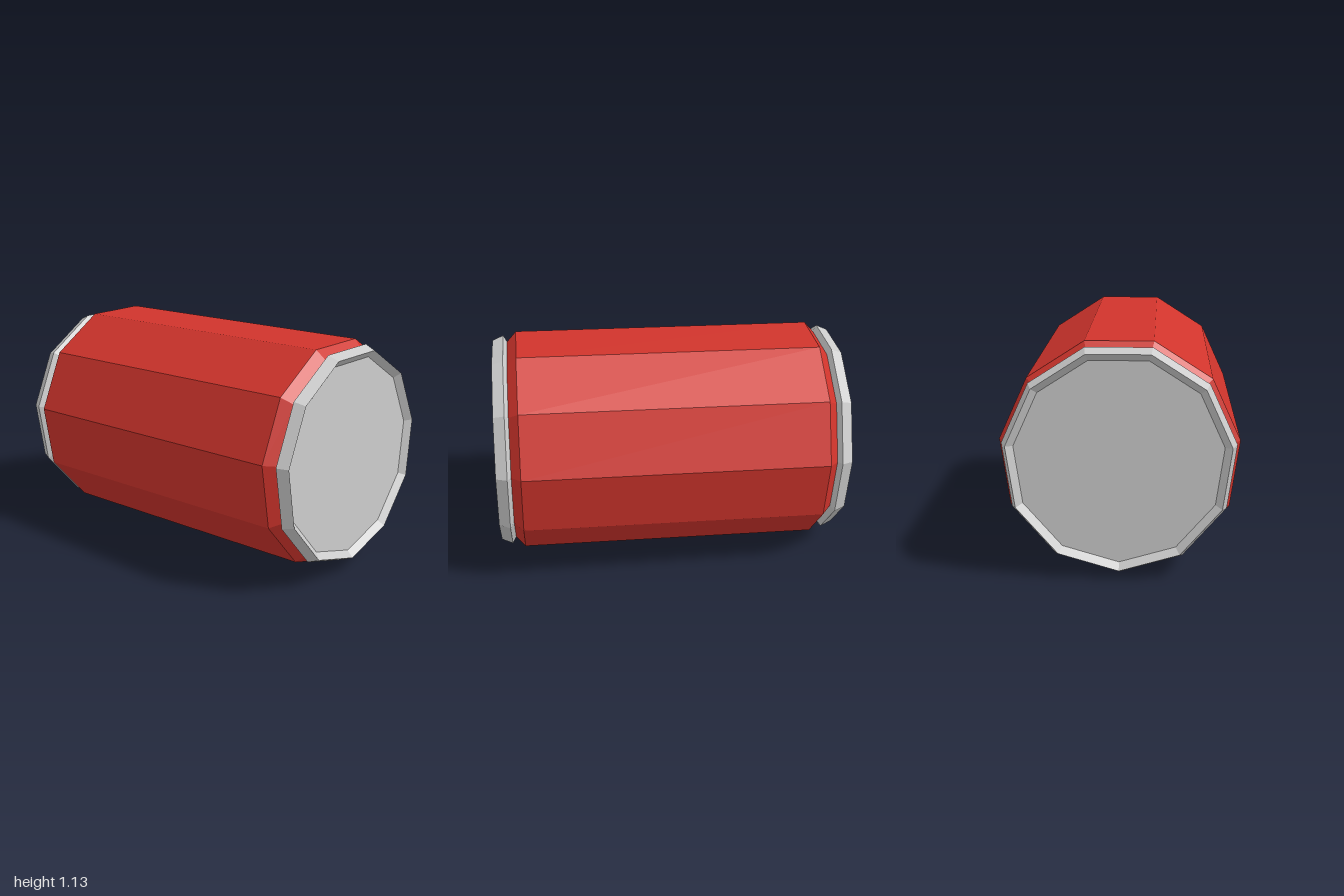
import * as THREE from 'three';

const SIDES = 11;

export function createModel() {
  const red = new THREE.MeshStandardMaterial({ color: 0xd0342c, flatShading: true });
  const grey = new THREE.MeshStandardMaterial({ color: 0xcccccc, flatShading: true });

  // Faceted turned part; points are [radius, position along the axis]
  const turned = (name, points, material) => {
    const profile = points.map(([r, y]) => new THREE.Vector2(r, y));
    const mesh = new THREE.Mesh(new THREE.LatheGeometry(profile, SIDES), material);
    mesh.name = name;
    return mesh;
  };
  // Same part at the other end: flipped along the axis, order reversed to keep faces outward
  const flip = (points) => points.map(([r, y]) => [r, -y]).reverse();

  const can = new THREE.Group();
  can.name = 'can';

  // Painted wall with a tapered shoulder at each end
  const wall = [[0.559, 0.752], [0.508, 0.798]];
  can.add(turned('body', [...flip(wall), ...wall], red));

  // Rolled rims and recessed lids
  const rim = [[0.508, 0.798], [0.541, 0.816], [0.517, 0.871], [0.483, 0.842]];
  const lid = [[0.483, 0.842], [0, 0.842]];
  can.add(turned('frontRim', rim, grey), turned('frontLid', lid, grey));
  can.add(turned('backRim', flip(rim), grey), turned('backLid', flip(lid), grey));

  // Lay the can on its side, turned and very slightly raised at the front
  can.rotation.set(Math.PI / 2 - 0.02, THREE.MathUtils.degToRad(21.3), 0, 'YXZ');
  can.position.y = 0.574;

  const model = new THREE.Group();
  model.name = 'lyingCan';
  model.add(can);
  return model;
}
